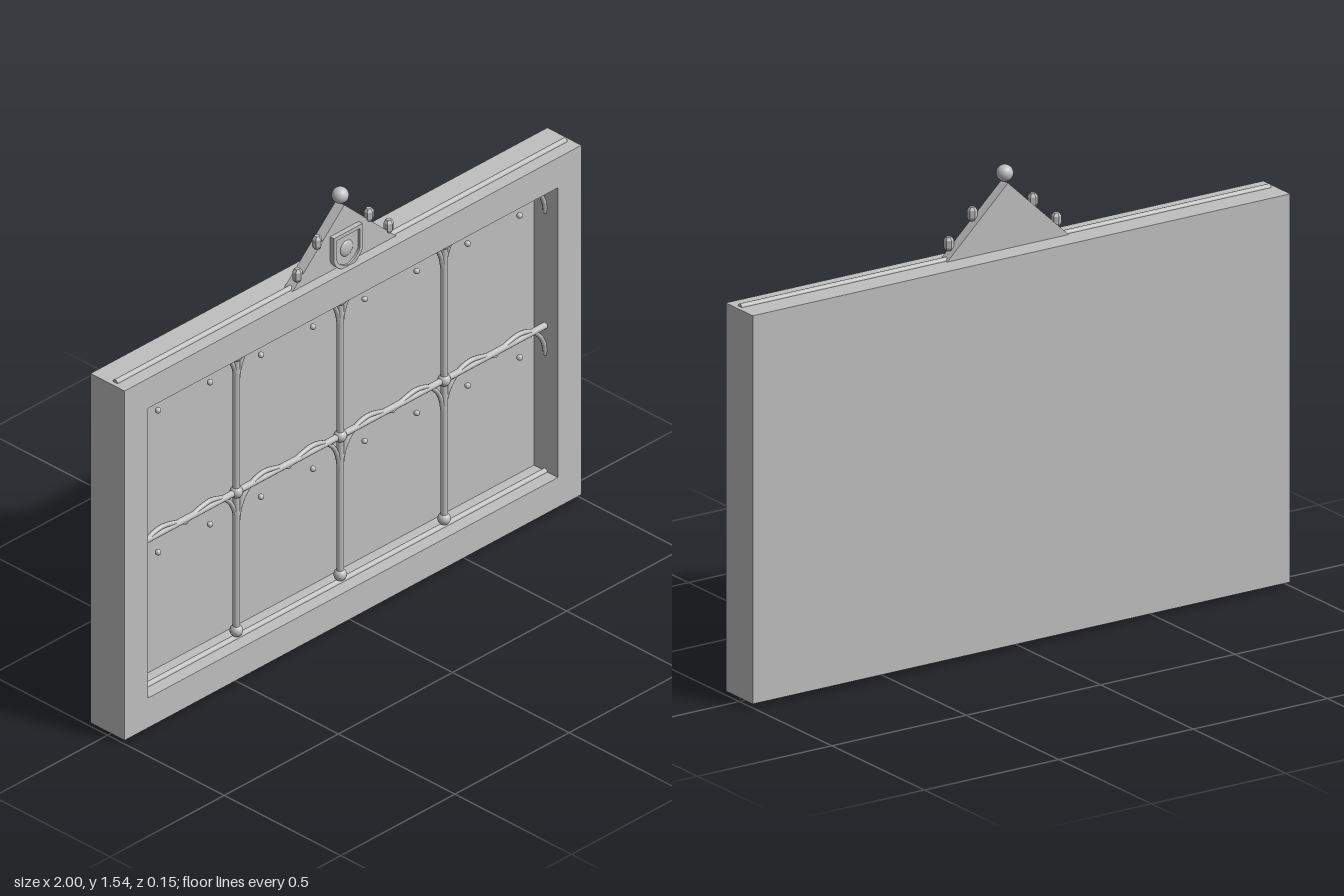
import * as THREE from 'three';

const stone = new THREE.MeshStandardMaterial({ color: 0xbfbfbf });
stone.name = 'grey stone';

const BOTTOM = 0.013, TOP = 1.273;        // frame height range
const OPEN_X = 0.897, OPEN_B = 0.12, OPEN_T = 1.165;
const FRONT = 0.073, RECESS = -0.03;      // front face and recess floor
const Z = 0.018;                          // plane of the tracery

function add(parent, name, geometry, x = 0, y = 0, z = 0) {
  const mesh = new THREE.Mesh(geometry, stone);
  mesh.name = name;
  mesh.position.set(x, y, z);
  parent.add(mesh);
  return mesh;
}

// Flat outline pushed forward along z
const slab = (shape, depth) =>
  new THREE.ExtrudeGeometry(shape, { depth, bevelEnabled: false, curveSegments: 10 });

const outline = (pts, Type = THREE.Shape) => new Type(pts.map(p => new THREE.Vector2(...p)));

function rod(parent, name, length, radius, x, y, horizontal) {
  const mesh = add(parent, name, new THREE.CylinderGeometry(radius, radius, length, 12), x, y, Z);
  if (horizontal) mesh.rotation.z = Math.PI / 2;
}

// Heater shield outline centred on x, scaled by s about its middle
function shieldOutline(Type, s) {
  const p = new Type();
  p.moveTo(-0.063 * s, 0.065 * s);
  p.lineTo(-0.063 * s, -0.02 * s);
  p.quadraticCurveTo(-0.055 * s, -0.055 * s, 0, -0.072 * s);
  p.quadraticCurveTo(0.055 * s, -0.055 * s, 0.063 * s, -0.02 * s);
  p.lineTo(0.063 * s, 0.065 * s);
  p.closePath();
  return p;
}

function makeFrame() {
  const g = new THREE.Group();
  g.name = 'frame';
  const border = outline([[-1, BOTTOM], [1, BOTTOM], [1, TOP], [-1, TOP]]);
  border.holes.push(outline(
    [[-OPEN_X, OPEN_B], [-OPEN_X, OPEN_T], [OPEN_X, OPEN_T], [OPEN_X, OPEN_B]], THREE.Path));
  add(g, 'border', slab(border, FRONT - RECESS), 0, 0, RECESS);
  add(g, 'backPanel', new THREE.BoxGeometry(2, TOP - BOTTOM, RECESS + FRONT),
    0, (TOP + BOTTOM) / 2, (RECESS - FRONT) / 2);
  // Long beads along the top and bottom edges
  rod(g, 'topBead', 1.97, 0.01, 0, TOP, true);
  rod(g, 'bottomBead', 1.97, 0.01, 0, 0.01, true);
  return g;
}

function makeTracery() {
  const g = new THREE.Group();
  g.name = 'tracery';
  const railY = 0.645;
  rod(g, 'middleRail', OPEN_X * 2, 0.011, 0, railY, true);
  rod(g, 'upperRail', OPEN_X * 2, 0.008, 0, OPEN_T - 0.002, true);
  rod(g, 'lowerRail', OPEN_X * 2, 0.01, 0, OPEN_B, true);

  // Upright bars with ball joints
  for (const x of [-0.455, 0, 0.455]) {
    rod(g, 'mullion', 1.0, 0.012, x, railY, false);
    for (const y of [0.145, railY, 1.138])
      add(g, 'jointBall', new THREE.SphereGeometry(0.021, 16, 12), x, y, Z);
  }

  // Half of a two-lobed arch, from the upright to the central cusp
  const half = [[0, -0.105], [0.006, -0.07], [0.025, -0.03], [0.062, 0.004],
    [0.112, 0.018], [0.165, 0.01], [0.226, -0.012]];
  for (const springY of [railY, railY + 0.512])
    for (const cx of [-0.678, -0.227, 0.227, 0.678])
      for (const side of [-1, 1]) {
        const curve = new THREE.CatmullRomCurve3(
          half.map(([x, y]) => new THREE.Vector3(side * (x - 0.222), y, 0)));
        add(g, 'foilArch', new THREE.TubeGeometry(curve, 24, 0.008, 8), cx, springY, Z);
        add(g, 'stud', new THREE.SphereGeometry(0.01, 12, 8),
          cx + side * 0.114, springY - 0.072, 0.012);
      }
  return g;
}

function makeCrest() {
  const g = new THREE.Group();
  g.name = 'crest';
  const base = 1.265, apex = 1.485;
  add(g, 'gable', slab(outline([[-0.235, base], [0.235, base], [0, apex]]), 0.036));
  add(g, 'finialBall', new THREE.SphereGeometry(0.027, 24, 16), 0, 1.513, Z);

  // Faceted knobs climbing both slopes
  const knob = [[0, -0.022], [0.011, -0.022], [0.016, -0.012], [0.016, 0.012], [0.009, 0.022], [0, 0.022]]
    .map(p => new THREE.Vector2(...p));
  for (const side of [-1, 1])
    for (const [x, y] of [[0.2, 1.32], [0.113, 1.4]]) {
      const geo = new THREE.LatheGeometry(knob, 6).toNonIndexed();
      geo.computeVertexNormals();
      add(g, 'crocket', geo, side * x, y, 0.03);
    }

  // Shield with raised rim and a round boss
  const y = 1.333;
  add(g, 'shieldPlate', slab(shieldOutline(THREE.Shape, 0.98), 0.01), 0, y, 0.035);
  const rim = shieldOutline(THREE.Shape, 1);
  rim.holes.push(shieldOutline(THREE.Path, 0.8));
  add(g, 'shieldRim', slab(rim, 0.018), 0, y, 0.035);
  add(g, 'shieldBoss', new THREE.SphereGeometry(0.028, 20, 12), 0, y, 0.044).scale.z = 0.35;
  return g;
}

export function createModel() {
  const model = new THREE.Group();
  model.name = 'traceryPanel';
  model.add(makeFrame(), makeTracery(), makeCrest());
  return model;
}
